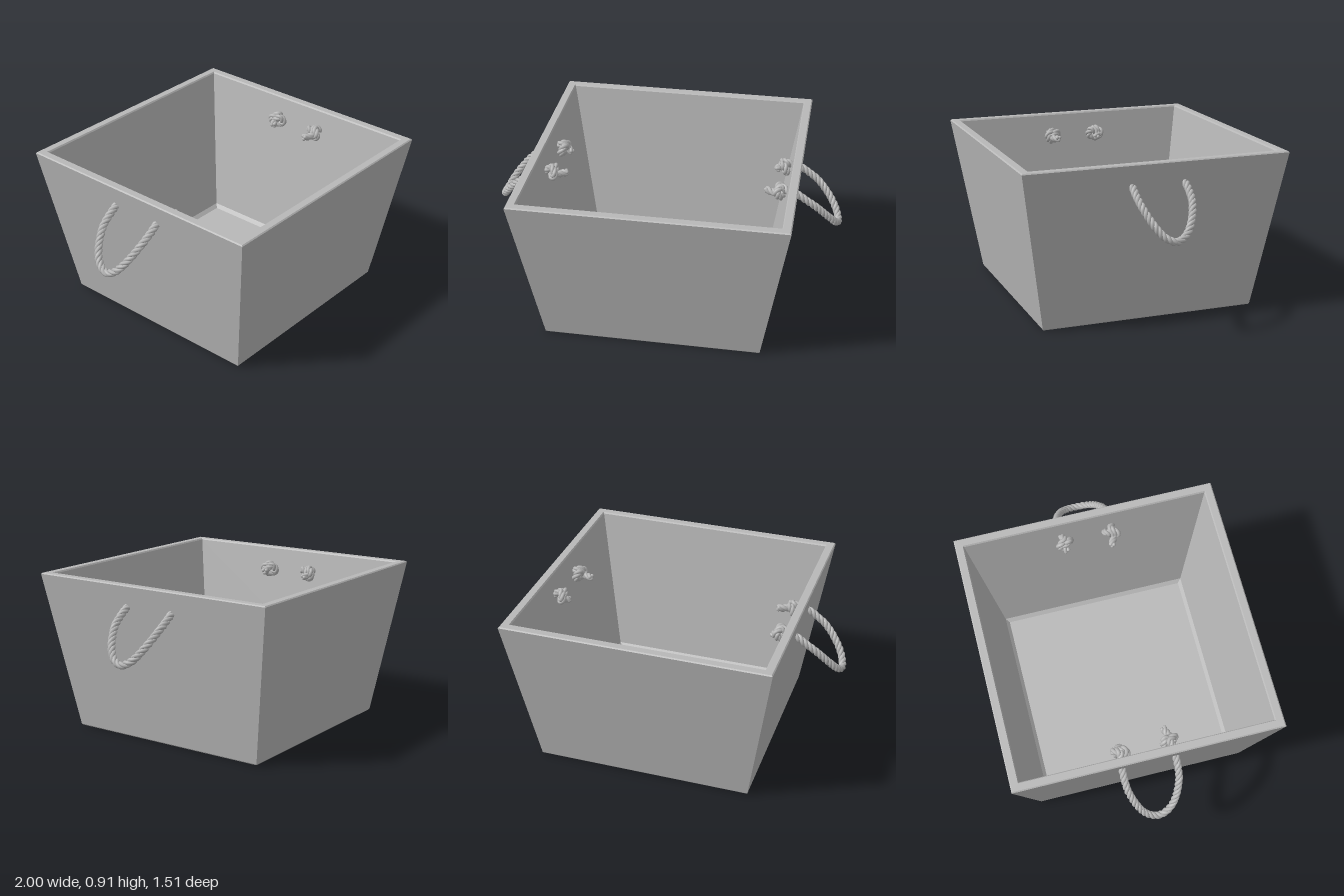
import * as THREE from 'three';

const binMaterial = new THREE.MeshStandardMaterial({ color: 0xb8b8b8 });
binMaterial.name = 'grey';

// Half of a handle: the lowest point, out to the wall and through it
const halfLoop = [
  [0.965, 0.557, 0.055], [0.93, 0.61, 0.1], [0.85, 0.7, 0.142],
  [0.79, 0.745, 0.15], [0.735, 0.78, 0.15], [0.695, 0.785, 0.15],
];
// Overhand knot inside the wall
const knot = [
  [0.655, 0.808, 0.14], [0.63, 0.785, 0.172], [0.65, 0.75, 0.15],
  [0.662, 0.765, 0.105], [0.64, 0.803, 0.115], [0.625, 0.775, 0.148],
];
const longTail = [[0.595, 0.772, 0.135], [0.57, 0.775, 0.125]];
const shortTail = [[0.605, 0.76, 0.135]];

// Square shell: floor, tapered walls, softened rim and inner floor fillet
function makeBin() {
  const profile = [
    [0, 0], [0.607, 0], [0.612, 0.006], [0.756, 0.9], [0.75, 0.906],
    [0.711, 0.906], [0.705, 0.898], [0.565, 0.06], [0.545, 0.04], [0, 0.04],
  ].map(([half, y]) => new THREE.Vector2(half * Math.SQRT2, y));
  const geometry = new THREE.LatheGeometry(profile, 4, Math.PI / 4).toNonIndexed();
  geometry.computeVertexNormals();
  const bin = new THREE.Mesh(geometry, binMaterial);
  bin.name = 'bin';
  return bin;
}

// Three strands twisted around one path, with rounded ends
function makeRope(path) {
  const samples = 320;
  const strandRadius = 0.0115;
  const offset = 0.0105;
  const turns = Math.round(path.getLength() / 0.09);
  const frames = path.computeFrenetFrames(samples, false);
  const centres = path.getSpacedPoints(samples);
  const rope = new THREE.Group();
  for (let s = 0; s < 3; s++) {
    const points = centres.map((centre, i) => {
      const angle = (i / samples) * turns * Math.PI * 2 + (s * Math.PI * 2) / 3;
      return centre.clone()
        .addScaledVector(frames.normals[i], Math.cos(angle) * offset)
        .addScaledVector(frames.binormals[i], Math.sin(angle) * offset);
    });
    const curve = new THREE.CatmullRomCurve3(points);
    const strand = new THREE.Mesh(new THREE.TubeGeometry(curve, 320, strandRadius, 7), binMaterial);
    strand.name = 'ropeStrand';
    rope.add(strand);
    for (const end of [points[0], points[samples]]) {
      const cap = new THREE.Mesh(new THREE.SphereGeometry(strandRadius, 8, 6), binMaterial);
      cap.name = 'ropeEnd';
      cap.position.copy(end);
      rope.add(cap);
    }
  }
  return rope;
}

// Handle on one side (+1 left, -1 right), knotted at both ends
function makeHandle(side) {
  const front = [...halfLoop, ...knot, ...longTail];
  const back = [...halfLoop, ...knot, ...shortTail].map(([x, y, z]) => [x, y, -z]);
  const points = [...front.reverse(), [0.978, 0.535, 0], ...back]
    .map(([x, y, z]) => new THREE.Vector3(x * side, y, z));
  const path = new THREE.CatmullRomCurve3(points);
  path.arcLengthDivisions = 800;
  const handle = makeRope(path);
  handle.name = side > 0 ? 'leftRopeHandle' : 'rightRopeHandle';
  return handle;
}

export function createModel() {
  const model = new THREE.Group();
  model.name = 'ropeHandledBin';
  model.add(makeBin(), makeHandle(1), makeHandle(-1));
  return model;
}
